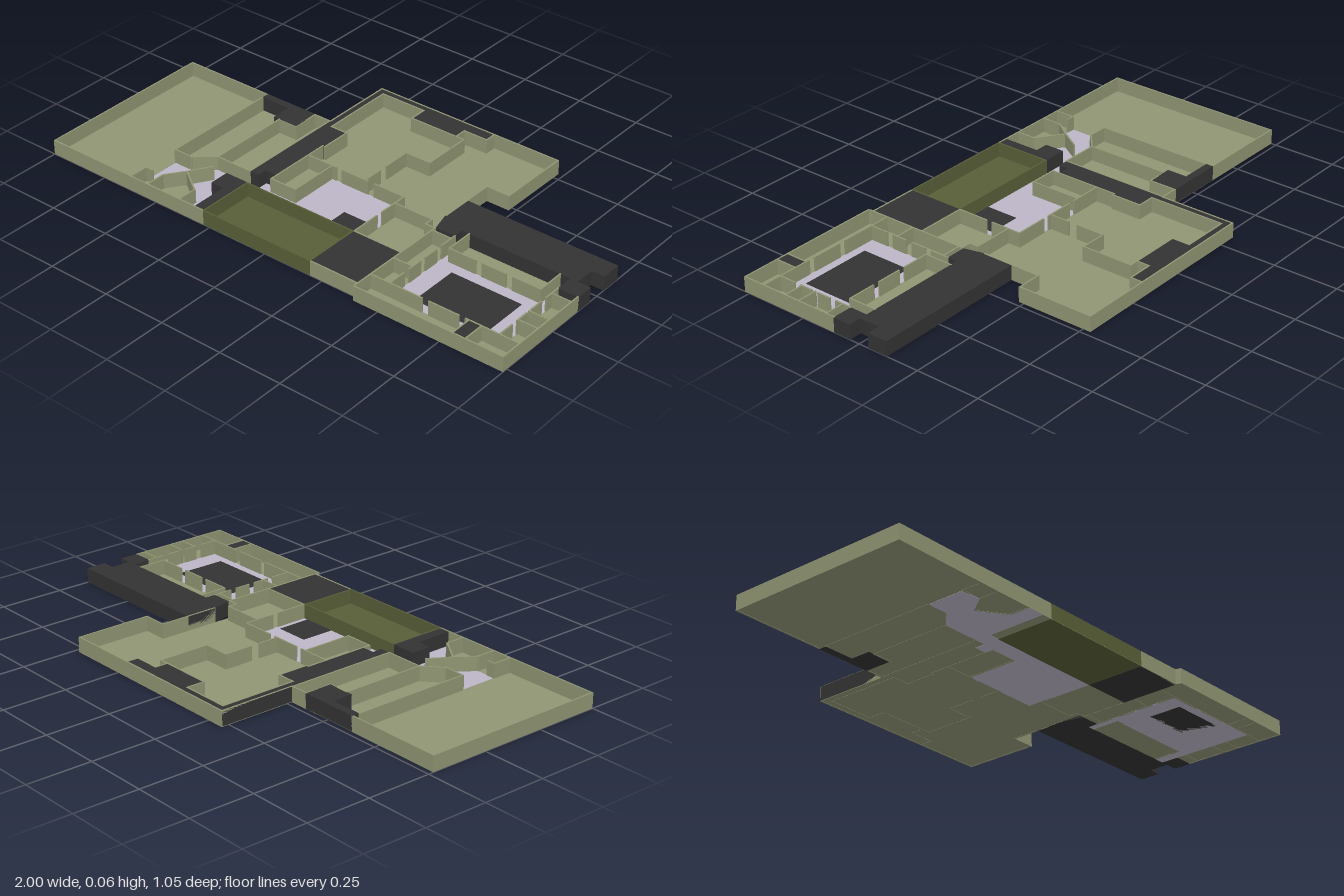
import * as THREE from 'three';

const H = 0.058, T = 0.006;
const material = (color) => new THREE.MeshStandardMaterial({ color, side: THREE.DoubleSide, flatShading: true });

export function createModel() {
  const model = new THREE.Group();
  const olive = material(0x8f9573), moss = material(0x585e38);
  const dark = material(0x333333), lavender = material(0xbcb5c6);

  // plan outline in [x, z] pairs, raised from y0 to y1
  function slab(name, mat, pts, y0, y1) {
    const shape = new THREE.Shape(pts.map(([x, z]) => new THREE.Vector2(x, -z)));
    const geo = new THREE.ExtrudeGeometry(shape, { depth: y1 - y0, bevelEnabled: false });
    geo.rotateX(-Math.PI / 2);
    geo.translate(0, y0, 0);
    const mesh = new THREE.Mesh(geo, mat);
    mesh.name = name;
    model.add(mesh);
  }
  const rect = (x0, z0, x1, z1) => [[x0, z0], [x1, z0], [x1, z1], [x0, z1]];

  // thin walls along a path of [x, z] points
  function walls(name, pts, mat = olive) {
    const group = new THREE.Group();
    group.name = name;
    for (let i = 0; i + 1 < pts.length; i++) {
      const [ax, az] = pts[i], [bx, bz] = pts[i + 1];
      const len = Math.hypot(bx - ax, bz - az);
      const wall = new THREE.Mesh(new THREE.BoxGeometry(len + T, H, T), mat);
      wall.name = 'wall';
      wall.position.set((ax + bx) / 2, H / 2, (az + bz) / 2);
      wall.rotation.y = -Math.atan2(bz - az, bx - ax);
      group.add(wall);
    }
    model.add(group);
  }

  // wall with evenly spaced doorways
  function doorWall(name, a, b, doors, gap = 0.03) {
    const len = Math.hypot(b[0] - a[0], b[1] - a[1]);
    const at = (d) => [a[0] + (b[0] - a[0]) * d / len, a[1] + (b[1] - a[1]) * d / len];
    let from = 0;
    for (let i = 1; i <= doors; i++) {
      const mid = len * i / (doors + 1);
      walls(name, [at(from), at(mid - gap / 2)]);
      from = mid + gap / 2;
    }
    walls(name, [at(from), b]);
  }

  // floors
  slab('mainFloor', olive, [[-1, -0.23], [-0.32, -0.23], [-0.32, -0.53], [0.48, -0.53], [0.48, -0.23],
    [0.38, -0.23], [0.38, 0.08], [1, 0.08], [1, 0.52], [0.4, 0.52], [0.4, 0.5], [-1, 0.5]], 0.001, 0.002);
  slab('centralFloor', lavender, [[-0.62, 0.27], [-0.54, 0.27], [-0.47, 0.21], [-0.28, 0.21], [-0.28, 0.17],
    [-0.23, 0.17], [-0.23, 0.2], [-0.12, 0.2], [-0.12, 0], [0.2, 0], [0.2, 0.27], [-0.32, 0.27],
    [-0.32, 0.5], [-0.39, 0.5], [-0.39, 0.42], [-0.49, 0.35], [-0.54, 0.42], [-0.62, 0.42]], 0, 0.003);
  slab('courtyardFloor', lavender, [[0.48, 0.04], [0.51, 0.04], [0.51, 0.15], [0.88, 0.15], [0.88, 0.04],
    [0.92, 0.04], [0.92, 0.43], [0.48, 0.43]], 0, 0.003);
  slab('courtyardPool', dark, rect(0.555, 0.195, 0.84, 0.395), -0.0004 + 0.0004, 0.004);
  slab('centralPatch', dark, rect(0.05, 0.14, 0.18, 0.27), 0.002, 0.004);
  slab('frontRoomFloor', moss, rect(-0.28, 0.27, 0.2, 0.5), 0, 0.003);
  slab('northEastRoomFloor', olive, rect(0.51, 0.04, 0.88, 0.15), 0.001, 0.002);

  // solid fill between the rooms
  const top = H - 0.001;
  slab('northFill', dark, [[-0.32, -0.528], [0.2, -0.528], [0.2, -0.48], [0.1, -0.48], [0.1, -0.43],
    [-0.1, -0.43], [-0.1, -0.5], [-0.29, -0.5], [-0.29, -0.2], [-0.22, -0.2], [-0.22, -0.08],
    [-0.23, -0.08], [-0.23, 0.17], [-0.28, 0.17], [-0.28, 0.21], [-0.32, 0.21]], 0.002, top);
  slab('westFill', dark, [[-0.62, -0.23], [-0.39, -0.23], [-0.39, -0.12], [-0.495, -0.12],
    [-0.495, -0.2], [-0.62, -0.2]], 0, H);
  slab('eastFill', dark, [[0.38, -0.12], [1, -0.12], [1, -0.04], [0.95, -0.04], [0.95, 0.04], [1, 0.04],
    [1, 0.11], [0.92, 0.11], [0.92, 0.04], [0.48, 0.04], [0.48, 0.08], [0.4, 0.08], [0.38, 0.0]], 0, top);
  slab('frontFill', dark, rect(0.2, 0.27, 0.4, 0.498), 0, top);
  slab('narrowFill', dark, rect(-0.32, 0.27, -0.28, 0.498), 0.002, top);
  slab('smallFill', dark, rect(-0.375, 0.27, -0.32, 0.35), 0.002, top);
  slab('southEastFill', dark, rect(0.8, 0.43, 0.85, 0.518), 0.002, top);

  // outer walls
  walls('westOuterWall', [[-0.62, -0.227], [-0.997, -0.227], [-0.997, 0.497], [-0.28, 0.497]]);
  walls('frontRoomOuterWall', [[-0.277, 0.497], [0.197, 0.497]], moss);
  walls('frontOuterWall', [[0.203, 0.497], [0.397, 0.497], [0.403, 0.517], [0.997, 0.517], [0.997, 0.11]]);
  walls('northOuterWall', [[-0.39, -0.227], [-0.317, -0.227], [-0.317, -0.527], [0.477, -0.527],
    [0.477, -0.233], [0.383, -0.233], [0.383, 0.0]]);

  // west rooms
  walls('westRoomWall', [[-0.62, -0.2], [-0.62, 0.27], [-0.54, 0.27], [-0.47, 0.21], [-0.47, -0.12], [-0.39, -0.12], [-0.39, -0.227]]);
  walls('westLowerWall', [[-0.62, 0.5 - T], [-0.62, 0.42], [-0.59, 0.42]]);
  walls('westSmallWall', [[-0.54, 0.497], [-0.54, 0.42], [-0.49, 0.35], [-0.39, 0.42], [-0.39, 0.497]]);
  walls('slantedWall', [[-0.49, 0.35], [-0.44, 0.27]]);
  walls('westCorridorWall', [[-0.47, 0.21], [-0.32, 0.21], [-0.32, -0.227]]);

  // north rooms
  walls('northHallWall', [[-0.22, -0.08], [-0.22, -0.2], [-0.29, -0.2], [-0.29, -0.5], [-0.1, -0.5],
    [-0.1, -0.43], [0.1, -0.43], [0.1, -0.48], [0.2, -0.48], [0.2, -0.527]]);
  walls('northPartition', [[0.1, -0.43], [0.135, -0.43], [0.135, -0.23], [0.03, -0.23], [0.03, -0.12]]);
  walls('northPartition', [[0.03, -0.08], [0.03, 0]]);

  // central rooms
  doorWall('centralBackWall', [-0.23, 0], [0.2, 0], 2);
  walls('closetWall', [[-0.23, -0.08], [-0.23, 0.2], [-0.12, 0.2], [-0.12, 0]]);
  doorWall('centralEastWall', [0.2, 0], [0.2, 0.27], 1);
  walls('eastRoomWall', [[0.2, 0.05], [0.36, 0.05], [0.36, 0.085], [0.4, 0.085]]);
  walls('eastRoomSideWall', [[0.4, 0.085], [0.4, 0.497]]);
  walls('eastRoomFrontWall', [[0.2, 0.27], [0.4, 0.27]]);
  const mossWalls = [[[-0.277, 0.273], [0.197, 0.273]], [[-0.277, 0.273], [-0.277, 0.497]], [[0.197, 0.273], [0.197, 0.497]]];
  mossWalls.forEach((path) => walls('frontRoomWall', path, moss));

  // courtyard and the cells around it
  doorWall('courtyardWestWall', [0.48, 0.08], [0.48, 0.43], 3);
  doorWall('courtyardEastWall', [0.92, 0.11], [0.92, 0.43], 3);
  doorWall('courtyardFrontWall', [0.48, 0.43], [0.92, 0.43], 2);
  walls('courtyardBackRoomWall', [[0.51, 0.04], [0.51, 0.15]]);
  walls('courtyardBackRoomWall', [[0.88, 0.04], [0.88, 0.15]]);
  doorWall('courtyardBackRoomFront', [0.51, 0.15], [0.88, 0.15], 2);
  [0.1, 0.31, 0.43].forEach((z) => walls('westCellWall', [[0.4, z], [0.48, z]]));
  [0.145, 0.27, 0.33, 0.43].forEach((z) => walls('eastCellWall', [[0.92, z], [0.997, z]]));
  [0.8, 0.85].forEach((x) => walls('frontCellWall', [[x, 0.43], [x, 0.517]]));

  return model;
}
